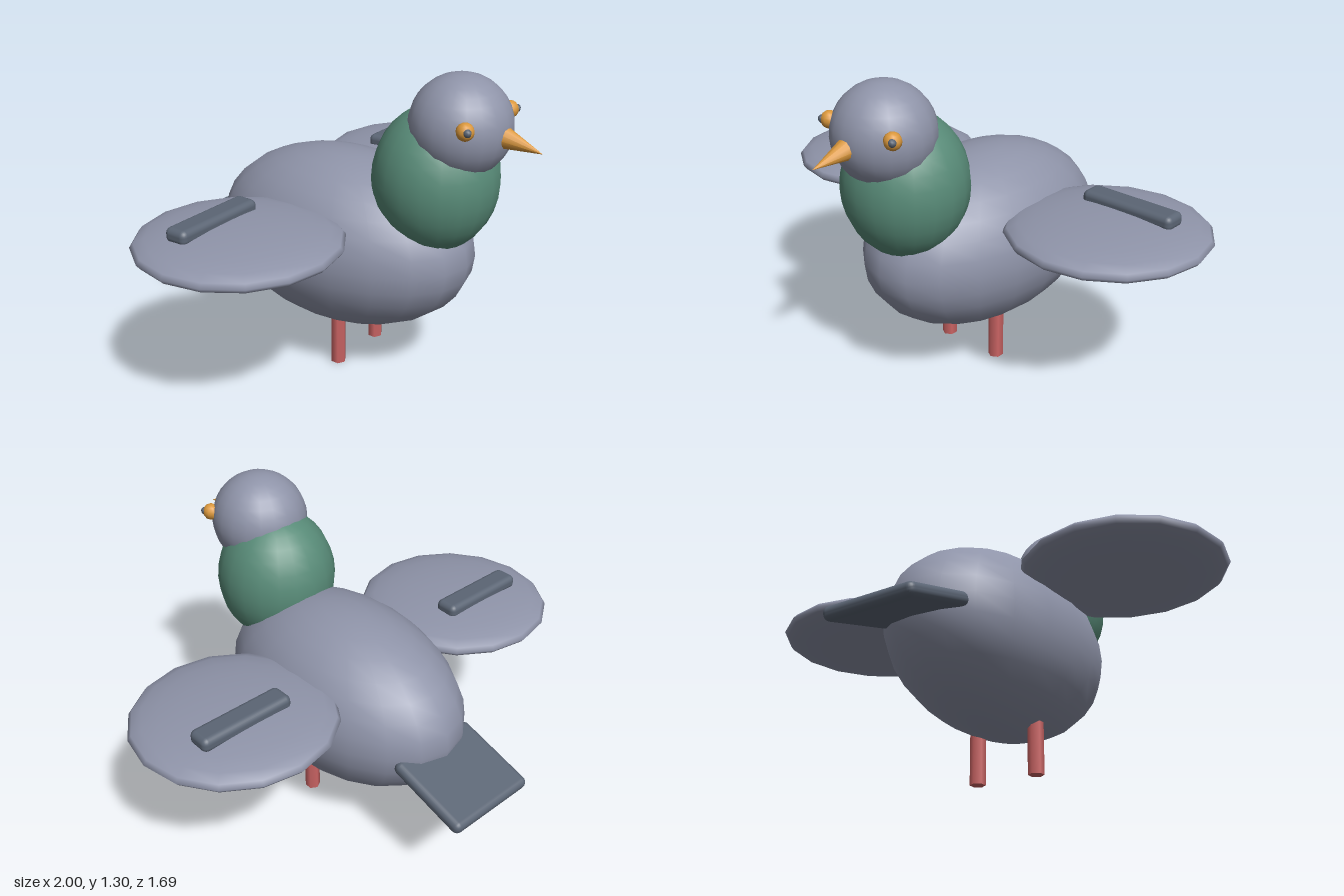
import * as THREE from 'three';
import { RoundedBoxGeometry } from 'three/addons/geometries/RoundedBoxGeometry.js';

const material = (name, color) => {
  const m = new THREE.MeshStandardMaterial({ color });
  m.name = name;
  return m;
};

export function createModel() {
  const bird = new THREE.Group();
  bird.name = 'bird';

  const grey = material('feather grey', 0x8f94a9);
  const slate = material('slate', 0x5b6574);
  const green = material('neck green', 0x588b78);
  const orange = material('orange', 0xdb983c);
  const pink = material('leg pink', 0xcb6464);

  const add = (name, geometry, mat, x, y, z) => {
    const mesh = new THREE.Mesh(geometry, mat);
    mesh.name = name;
    mesh.position.set(x, y, z);
    bird.add(mesh);
    return mesh;
  };
  const ellipsoid = (rx, ry, rz, w = 20, h = 16) =>
    new THREE.SphereGeometry(1, w, h).scale(rx, ry, rz);

  // Body, neck and head
  add('body', ellipsoid(0.367, 0.367, 0.587), grey, 0, 0.535, -0.015);
  add('neck', ellipsoid(0.248, 0.29, 0.248), green, 0, 0.875, 0.417);
  add('head', ellipsoid(0.198, 0.198, 0.198), grey, 0, 1.103, 0.515);

  // Beak, pointing forward and slightly down
  const beak = new THREE.ConeGeometry(0.05, 0.19, 12).rotateX(Math.PI / 2);
  add('beak', beak, orange, 0, 1.078, 0.757).rotation.x = 0.2;

  // Tail slab, sloping down to the rear
  const tail = new RoundedBoxGeometry(0.4, 0.055, 0.357, 3, 0.025);
  add('tail', tail, slate, 0, 0.457, -0.672).rotation.x = -0.29;

  // Paired parts
  for (const [side, s] of [['left', 1], ['right', -1]]) {
    add(side + 'Wing', ellipsoid(0.4, 0.068, 0.4, 16, 12), grey, s * 0.6, 0.702, -0.058);
    add(side + 'WingBar', new RoundedBoxGeometry(0.4, 0.06, 0.1, 3, 0.024), slate,
      s * 0.635, 0.772, -0.155);
    add(side + 'Leg', new THREE.CylinderGeometry(0.032, 0.032, 0.3, 6), pink,
      s * 0.135, 0.15, 0.05);
    add(side + 'Eye', ellipsoid(0.034, 0.034, 0.034, 10, 8), orange, s * 0.165, 1.143, 0.627);
    add(side + 'Pupil', ellipsoid(0.016, 0.016, 0.016, 8, 6), slate, s * 0.183, 1.146, 0.646);
  }
  return bird;
}
